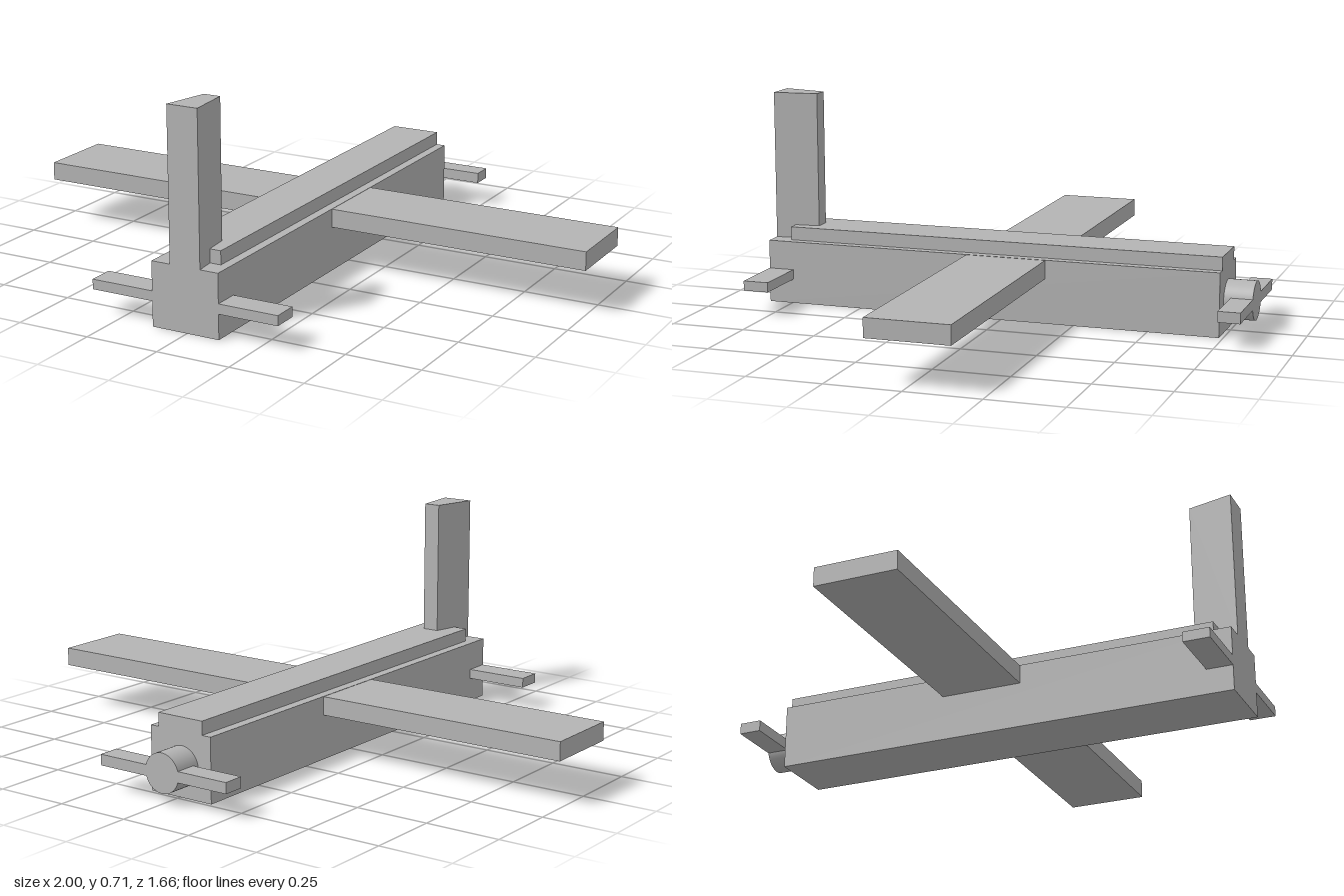
import * as THREE from 'three';

export function createModel() {
  const group = new THREE.Group();
  const grey = new THREE.MeshStandardMaterial({ color: 0xb4b4b4 });
  grey.name = 'plain grey';

  function add(name, geometry) {
    const mesh = new THREE.Mesh(geometry, grey);
    mesh.name = name;
    group.add(mesh);
    return mesh;
  }

  // Box given by its limits on each axis
  function block(name, [x0, x1], [y0, y1], [z0, z1]) {
    add(name, new THREE.BoxGeometry(x1 - x0, y1 - y0, z1 - z0))
      .position.set((x0 + x1) / 2, (y0 + y1) / 2, (z0 + z1) / 2);
  }

  // Fuselage and the raised spine along its top
  const body = [-0.123, 0.113];
  block('fuselage', body, [0, 0.213], [-0.737, 0.832]);
  block('spine', [-0.09, 0.082], [0.213, 0.258], [-0.737, 0.764]);

  // Wings, tailplane and propeller blades, one on each side
  block('rightWing', [-1, body[0]], [0.15, 0.212], [-0.154, 0.119]);
  block('leftWing', [body[1], 1], [0.15, 0.212], [-0.154, 0.119]);
  block('rightTailplane', [-0.342, body[0]], [0.083, 0.116], [0.745, 0.832]);
  block('leftTailplane', [body[1], 0.318], [0.083, 0.116], [0.745, 0.832]);
  block('rightPropellerBlade', [-0.257, -0.03], [0.083, 0.119], [-0.832, -0.759]);
  block('leftPropellerBlade', [0.01, 0.237], [0.083, 0.119], [-0.832, -0.759]);

  // Round propeller hub
  const hub = new THREE.CylinderGeometry(0.065, 0.065, 0.095, 48).rotateX(Math.PI / 2);
  add('propellerHub', hub).position.set(-0.009, 0.102, -0.7845);

  // Upright fin with a tapered plan, drawn as (x, -z) and extruded upward
  const plan = new THREE.Shape([
    new THREE.Vector2(-0.057, -0.832),
    new THREE.Vector2(0.05, -0.832),
    new THREE.Vector2(0.036, -0.68),
    new THREE.Vector2(-0.021, -0.68),
  ]);
  const fin = new THREE.ExtrudeGeometry(plan, { depth: 0.5, bevelEnabled: false });
  add('tailFin', fin.rotateX(-Math.PI / 2)).position.y = 0.213;

  return group;
}
